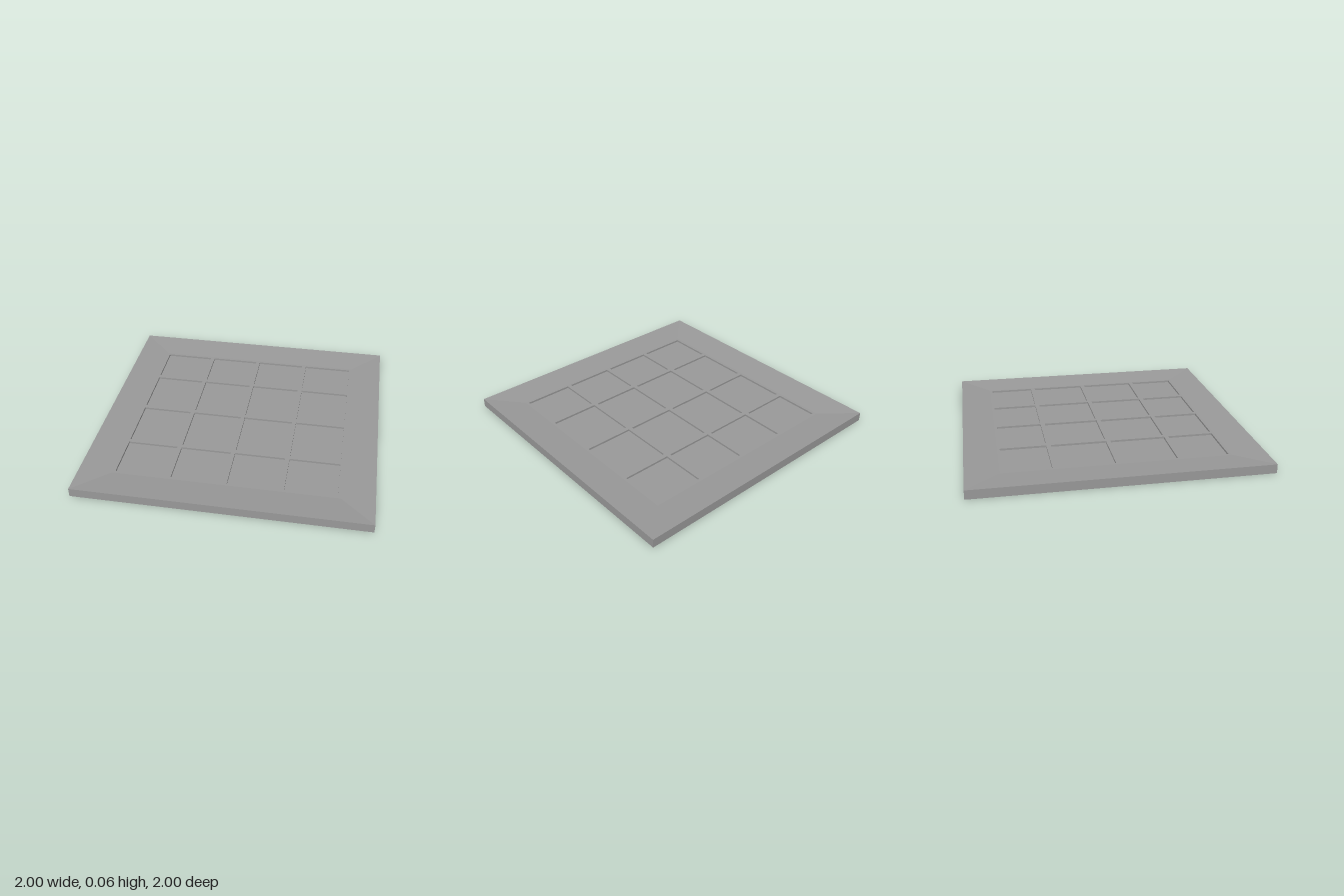
import * as THREE from 'three';

const HEIGHT = 0.063; // outer edge of the sloping rim
const GRID_Y = 0.045; // top of the ribs between pockets
const FLOOR_Y = 0.031; // bottom of the pockets
const INNER = 0.775; // half width of the pocket field

export function createModel() {
  const group = new THREE.Group();
  group.name = 'pocketTray';
  const grey = new THREE.MeshStandardMaterial({ color: 0x999999 });
  grey.name = 'grey';

  const add = (name, geometry) => {
    const mesh = new THREE.Mesh(geometry, grey);
    mesh.name = name;
    group.add(mesh);
    return mesh;
  };

  // Square shell: underside, four walls and the rim sloping gently inwards
  const profile = [[0, 0], [1, 0], [1, HEIGHT], [INNER, GRID_Y]]
    .map(([r, y]) => new THREE.Vector2(r * Math.SQRT2, y));
  const shell = new THREE.LatheGeometry(profile, 4, Math.PI / 4).toNonIndexed();
  shell.computeVertexNormals();
  add('shell', shell);

  // Ribbed grid with a four by four field of openings
  const outline = new THREE.Shape([
    new THREE.Vector2(-INNER, -INNER), new THREE.Vector2(INNER, -INNER),
    new THREE.Vector2(INNER, INNER), new THREE.Vector2(-INNER, INNER),
  ]);
  const columns = [[-0.755, -0.4], [-0.37, -0.015], [0.015, 0.37], [0.4, 0.755]];
  const rows = [[-0.755, -0.435], [-0.403, -0.016], [0.016, 0.403], [0.435, 0.755]];
  for (const [x0, x1] of columns) {
    for (const [z0, z1] of rows) {
      outline.holes.push(new THREE.Path([
        new THREE.Vector2(x0, z0), new THREE.Vector2(x0, z1),
        new THREE.Vector2(x1, z1), new THREE.Vector2(x1, z0),
      ]));
    }
  }
  const ribs = new THREE.ExtrudeGeometry(outline, { depth: GRID_Y - FLOOR_Y, bevelEnabled: false });
  ribs.rotateX(-Math.PI / 2);
  add('pocketRibs', ribs).position.y = FLOOR_Y;

  // Common floor of the pockets
  const floor = new THREE.PlaneGeometry(INNER * 2, INNER * 2).rotateX(-Math.PI / 2);
  add('pocketFloor', floor).position.y = FLOOR_Y;

  return group;
}
